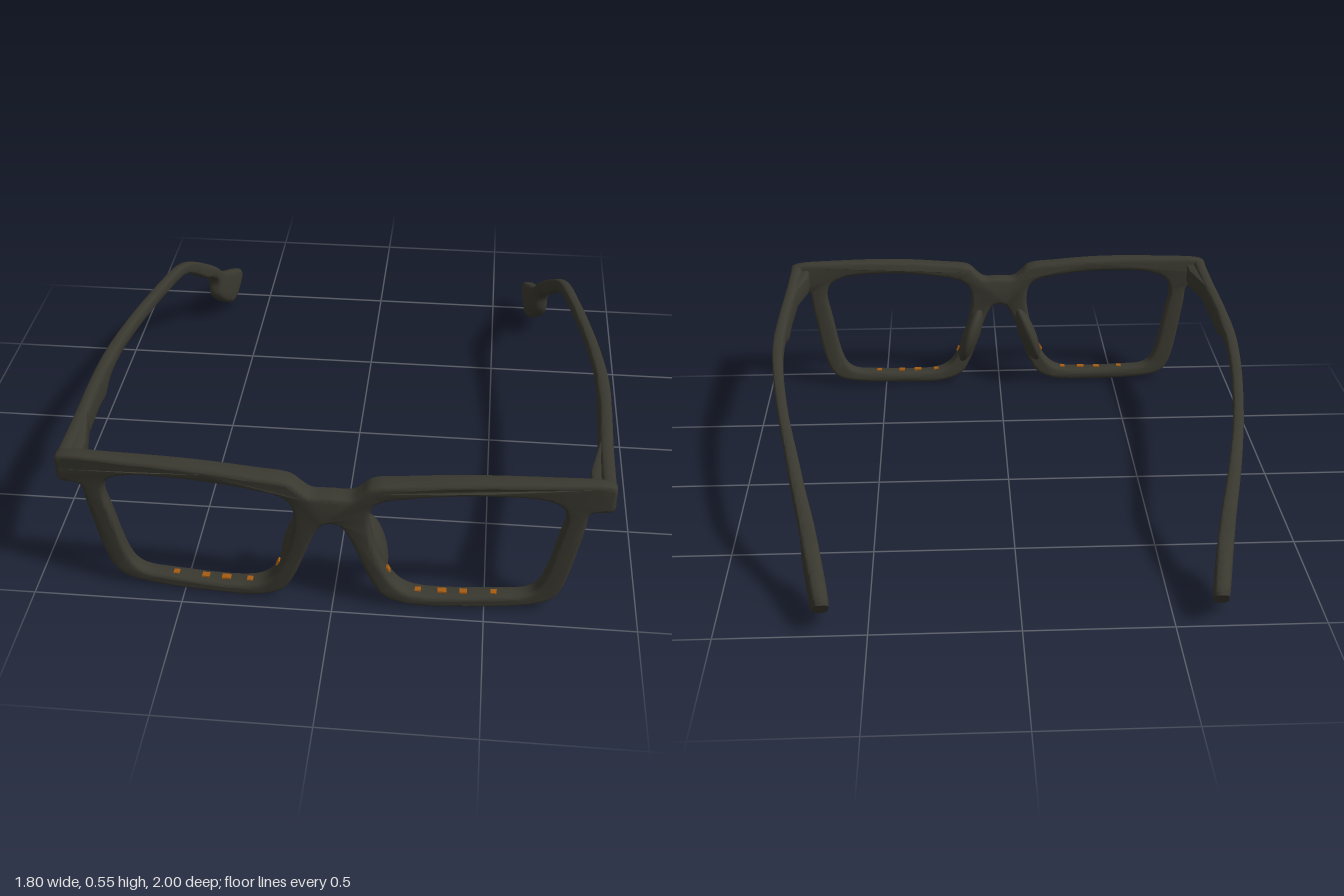
import * as THREE from 'three';
import { toCreasedNormals } from 'three/addons/utils/BufferGeometryUtils.js';

const darkAcetate = new THREE.MeshStandardMaterial({ color: 0x3a3930 });
darkAcetate.name = 'dark acetate';
const amberFleck = new THREE.MeshStandardMaterial({ color: 0xa65c12 });
amberFleck.name = 'amber fleck';

const curve = (pts, closed = false) =>
  new THREE.CatmullRomCurve3(pts.map(([x, y]) => new THREE.Vector3(x, y, 0)), closed);
const flat = (pts) => pts.map((p) => new THREE.Vector2(p.x, p.y));

// Front and back surfaces of the frame: wrapped around the face, tilted inwards below
const frontZ = (x, y) => 0.997 - 0.05 * (x / 0.885) ** 2 - 0.075 * (0.5 - y);
const backZ = (x, y) => 0.923 - 0.02 * (x / 0.885) ** 2 - 0.075 * (0.5 - y);

function add(group, geometry, name, material = darkAcetate) {
  const mesh = new THREE.Mesh(geometry, material);
  mesh.name = name;
  group.add(mesh);
  return mesh;
}

// One-piece front: half outline mirrored, two lens openings
function frontFrame() {
  const half = flat(curve([
    [0, 0.467], [0.065, 0.468], [0.095, 0.49], [0.13, 0.52], [0.25, 0.535], [0.44, 0.55],
    [0.69, 0.553], [0.865, 0.547], [0.885, 0.535], [0.887, 0.49], [0.885, 0.445], [0.87, 0.437],
    [0.815, 0.43], [0.80, 0.35], [0.747, 0.09], [0.71, 0.04], [0.64, 0.018],
    [0.39, 0.004], [0.25, 0.008], [0.17, 0.04], [0.13, 0.1], [0.05, 0.315], [0.025, 0.348], [0, 0.355],
  ]).getPoints(130));
  const mirrored = half.slice(1, -1).reverse().map((p) => new THREE.Vector2(-p.x, p.y));
  const shape = new THREE.Shape([...half, ...mirrored].reverse());
  const lens = flat(curve([
    [0.13, 0.43], [0.16, 0.458], [0.25, 0.48], [0.44, 0.50], [0.66, 0.49], [0.722, 0.46],
    [0.74, 0.41], [0.725, 0.32], [0.677, 0.11], [0.64, 0.07], [0.54, 0.056], [0.27, 0.054],
    [0.21, 0.09], [0.155, 0.2], [0.125, 0.32], [0.12, 0.38],
  ], true).getPoints(90)).slice(0, -1);
  for (const s of [1, -1])
    shape.holes.push(new THREE.Path(lens.map((p) => new THREE.Vector2(s * p.x, p.y))));
  const g = new THREE.ExtrudeGeometry(shape, {
    depth: 0.04, bevelThickness: 0.015, bevelSize: 0.014, bevelOffset: -0.014, bevelSegments: 3,
  });
  const p = g.attributes.position;
  for (let i = 0; i < p.count; i++) {
    const x = p.getX(i), y = p.getY(i);
    p.setZ(i, THREE.MathUtils.lerp(backZ(x, y), frontZ(x, y), (p.getZ(i) + 0.015) / 0.07));
  }
  return toCreasedNormals(g, 0.7);
}

// Temple arm stations: top z, top y, bottom z, bottom y, half thickness
const stations = [
  [0.94, 0.545, 0.94, 0.445, 0.024], [0.75, 0.534, 0.75, 0.437, 0.024],
  [0.52, 0.519, 0.52, 0.425, 0.023], [0.43, 0.511, 0.43, 0.409, 0.023],
  [0.35, 0.501, 0.36, 0.434, 0.023], [0.25, 0.492, 0.25, 0.44, 0.022],
  [0, 0.478, 0, 0.43, 0.020], [-0.31, 0.457, -0.31, 0.41, 0.019],
  [-0.47, 0.44, -0.48, 0.392, 0.020], [-0.555, 0.41, -0.57, 0.343, 0.022],
  [-0.66, 0.345, -0.66, 0.275, 0.024], [-0.74, 0.286, -0.735, 0.228, 0.026],
  [-0.81, 0.222, -0.752, 0.195, 0.028], [-0.86, 0.197, -0.755, 0.135, 0.029],
  [-0.94, 0.162, -0.82, 0.067, 0.030], [-0.99, 0.138, -0.88, 0.03, 0.029],
  [-1.003, 0.12, -0.915, 0.032, 0.026],
];
const topEdge = curve(stations.map((s) => [s[0], s[1]]));
const bottomEdge = curve(stations.map((s) => [s[2], s[3]]));
const bow = curve([[1, 0.861], [0.7, 0.866], [0.45, 0.876], [0.3, 0.878], [0.2, 0.874], [0, 0.853],
  [-0.2, 0.823], [-0.4, 0.787], [-0.6, 0.742], [-0.8, 0.686], [-1.02, 0.638]]).getPoints(120);

// Sideways position of the arm at a given depth
function bowX(z) {
  let i = 1;
  while (i < bow.length - 1 && bow[i].x > z) i++;
  const a = bow[i - 1], b = bow[i];
  return a.y + (b.y - a.y) * (z - a.x) / (b.x - a.x);
}

function temple(side) {
  const N = 96, M = 20, pos = [], index = [];
  const ring = (t, k) => {
    const a = topEdge.getPoint(t), b = bottomEdge.getPoint(t);
    const f = t * (stations.length - 1), i = Math.min(Math.floor(f), stations.length - 2);
    const h = THREE.MathUtils.lerp(stations[i][4], stations[i + 1][4], f - i);
    for (let j = 0; j < M; j++) {
      const q = j / M * Math.PI * 2, c = Math.cos(q), s = Math.sin(q);
      const u = Math.sign(c) * Math.abs(c) ** 0.5 * k;
      const v = 0.5 + 0.5 * Math.sign(s) * Math.abs(s) ** 0.5 * k;
      const z = b.x + (a.x - b.x) * v, y = b.y + (a.y - b.y) * v;
      pos.push(side * (bowX(z) + u * h), y, z);
    }
  };
  ring(0, 0.001);
  ring(0, 0.9);
  for (let i = 0; i <= N; i++) ring(i / N, 1);
  ring(1, 0.8);
  ring(1, 0.001);
  for (let i = 0; i < N + 4; i++)
    for (let j = 0; j < M; j++) {
      const a = i * M + j, b = i * M + (j + 1) % M, c = a + M, d = b + M;
      if (side > 0) index.push(a, c, b, b, c, d);
      else index.push(a, b, c, b, d, c);
    }
  const g = new THREE.BufferGeometry();
  g.setAttribute('position', new THREE.Float32BufferAttribute(pos, 3));
  g.setIndex(index);
  return toCreasedNormals(g, 0.8);
}

// Wedge on the inner face of the arm, behind the corner of the frame
function hingeBlock(side) {
  const plan = [[0.86, 0.92], [0.81, 0.92], [0.81, 0.84], [0.828, 0.76], [0.845, 0.68], [0.86, 0.66]];
  const shape = new THREE.Shape(plan.map(([x, z]) => new THREE.Vector2(side * x, -z)));
  const g = new THREE.ExtrudeGeometry(shape, {
    depth: 0.06, bevelThickness: 0.008, bevelSize: 0.006, bevelOffset: -0.006, bevelSegments: 2,
  });
  g.rotateX(-Math.PI / 2).translate(0, 0.458, 0);
  return toCreasedNormals(g, 0.6);
}

// Dome on the back of the slanted inner rim, its front half sunk into the rim
function nosePad(side) {
  const g = new THREE.SphereGeometry(1, 28, 20);
  const p = g.attributes.position;
  for (let i = 0; i < p.count; i++) if (p.getZ(i) > 0) p.setZ(i, p.getZ(i) * 0.25);
  g.scale(0.036, 0.125, 0.1).rotateY(-side * 0.18).rotateZ(side * 0.33);
  g.translate(side * 0.123, 0.215, 0.915);
  g.computeVertexNormals();
  return g;
}

// Amber flecks in the rim: x, y, length, slope (first the underside, then inside the opening)
const flecks = [
  [0.31, 0.004, 0.035, 0], [0.38, 0.003, 0.05, 0], [0.45, 0.006, 0.035, 0.05],
  [0.53, 0.010, 0.05, 0.056], [0.605, 0.0145, 0.04, 0.06],
  [0.28, 0.053, 0.02, 0], [0.36, 0.053, 0.03, 0], [0.43, 0.053, 0.025, 0],
  [0.53, 0.055, 0.02, 0], [0.182, 0.145, 0.02, -1.1],
];

export function createModel() {
  const model = new THREE.Group();
  model.name = 'eyeglasses';
  add(model, frontFrame(), 'frontFrame');

  for (const side of [1, -1]) {
    const label = side > 0 ? 'left' : 'right';
    add(model, temple(side), label + 'Temple');
    add(model, hingeBlock(side), label + 'Hinge');
    add(model, nosePad(side), label + 'NosePad');
    for (const [x, y, length, slope] of flecks) {
      const fleck = add(model, new THREE.BoxGeometry(length, 0.006, 0.02), label + 'Fleck', amberFleck);
      fleck.position.set(side * x, y, (frontZ(x, y) + backZ(x, y)) / 2);
      fleck.rotation.z = side * slope;
    }
  }
  return model;
}
